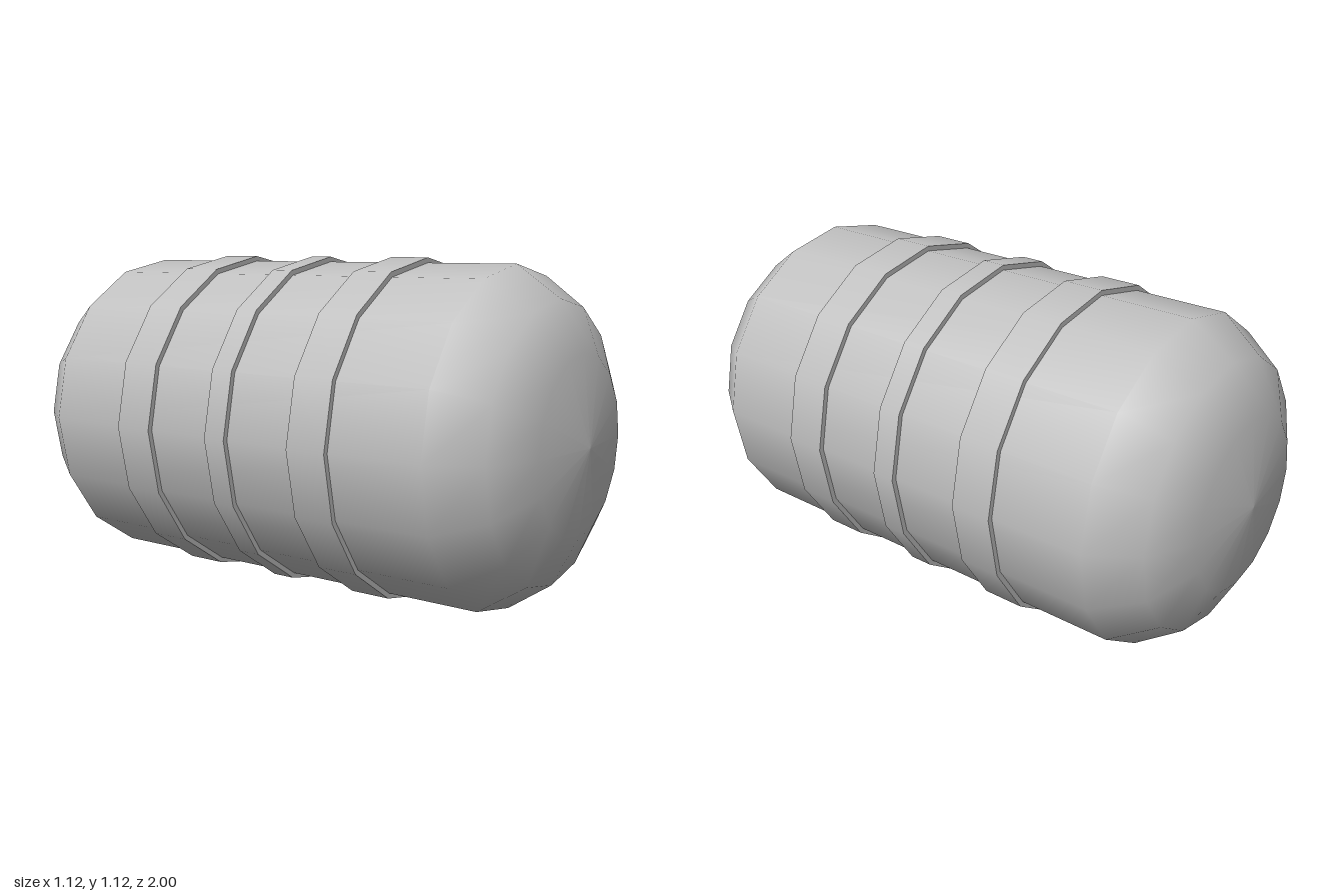
import * as THREE from 'three';

const SIDES = 16;
const BODY_RADIUS = 0.543;
const BAND_RADIUS = 0.56;

export function createModel() {
  const model = new THREE.Group();
  model.name = 'barrel';
  const grey = new THREE.MeshStandardMaterial({ color: 0xc0c0c0 });
  grey.name = 'grey';

  const add = (parent, name, geometry, z = 0) => {
    const mesh = new THREE.Mesh(geometry, grey);
    mesh.name = name;
    mesh.position.z = z;
    parent.add(mesh);
    return mesh;
  };

  // Smooth body with rounded ends, turned to lie along z
  const end = [[0, 1], [0.284, 0.97], [0.442, 0.888], [BODY_RADIUS, 0.742]];
  const profile = [
    ...end.map(([r, z]) => new THREE.Vector2(r, -z)),
    ...end.map(([r, z]) => new THREE.Vector2(r, z)).reverse(),
  ];
  add(model, 'body', new THREE.LatheGeometry(profile, SIDES).rotateX(Math.PI / 2));

  // Raised bands: an outer wall and two flat rims
  const addBand = (name, z, width) => {
    const band = new THREE.Group();
    band.name = name;
    band.position.z = z;
    model.add(band);
    const wall = new THREE.CylinderGeometry(BAND_RADIUS, BAND_RADIUS, width, SIDES, 1, true);
    add(band, 'bandWall', wall.rotateX(Math.PI / 2));
    const rim = new THREE.RingGeometry(BODY_RADIUS, BAND_RADIUS, SIDES);
    add(band, 'frontRim', rim, width / 2);
    add(band, 'backRim', rim, -width / 2).rotation.y = Math.PI;
  };
  addBand('frontBand', 0.356, 0.14);
  addBand('middleBand', 0, 0.08);
  addBand('backBand', -0.356, 0.14);

  model.children.forEach((part) => { part.position.y = BAND_RADIUS; });
  return model;
}
